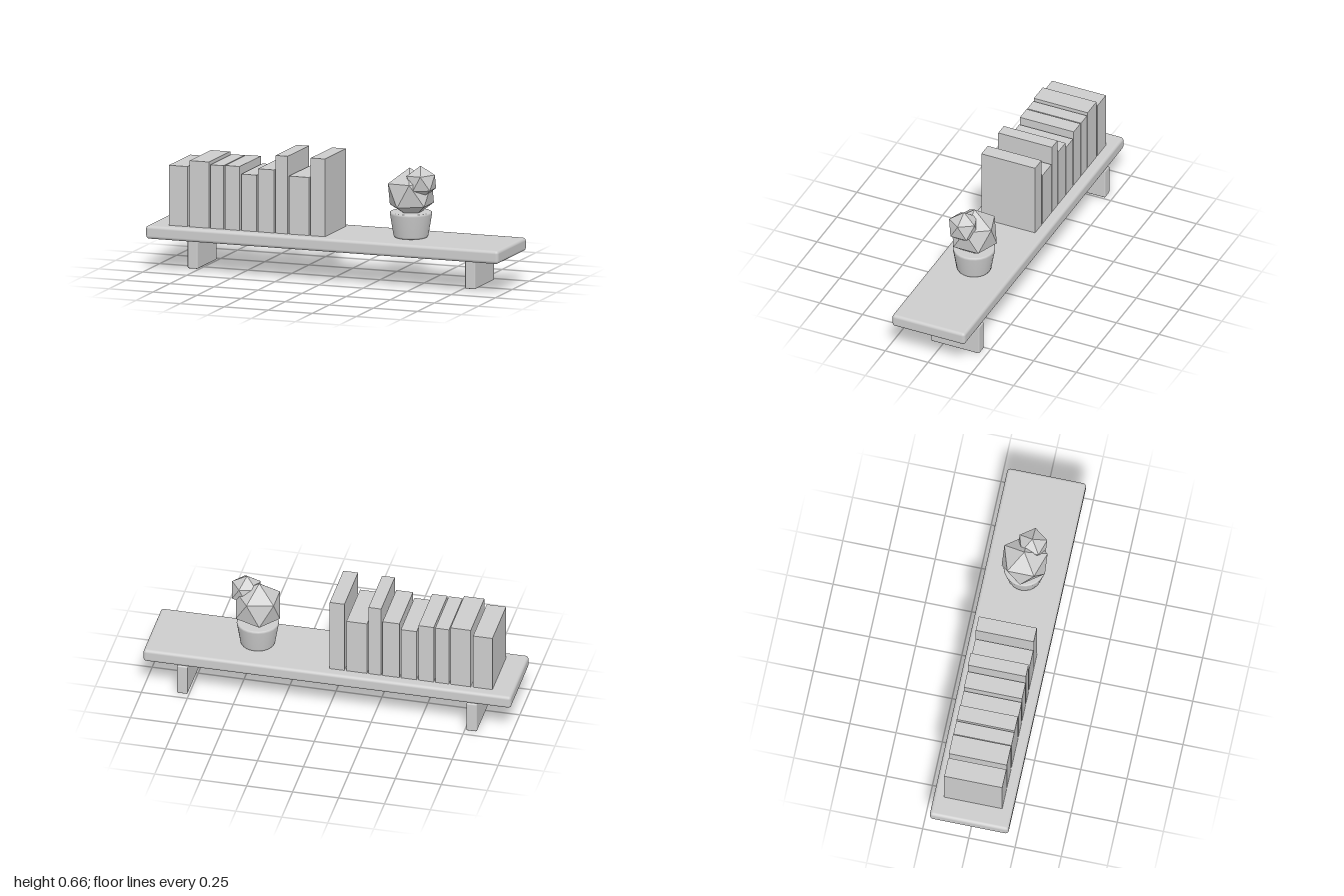
import * as THREE from 'three';
import { RoundedBoxGeometry } from 'three/addons/geometries/RoundedBoxGeometry.js';

export function createModel() {
  const model = new THREE.Group();
  model.name = 'shelfWithBooksAndPlant';
  const grey = new THREE.MeshStandardMaterial({ color: 0xcccccc });
  grey.name = 'grey';

  const add = (name, geometry, x, y, z, parent = model) => {
    const mesh = new THREE.Mesh(geometry, grey);
    mesh.name = name;
    mesh.position.set(x, y, z);
    parent.add(mesh);
    return mesh;
  };

  // Shelf board and its two brackets, flush with the back edge
  const shelfTop = 0.243;
  add('shelfBoard', new RoundedBoxGeometry(2, 0.071, 0.426, 3, 0.017), 0, 0.2075, 0);
  for (const side of [-1, 1]) {
    add(side > 0 ? 'leftBracket' : 'rightBracket',
      new RoundedBoxGeometry(0.058, 0.172, 0.284, 3, 0.007), side * 0.787, 0.086, -0.071);
  }

  // Row of books: [left edge, right edge, top]
  const books = new THREE.Group();
  books.name = 'books';
  model.add(books);
  [
    [-0.888, -0.783, 0.567], [-0.770, -0.660, 0.600], [-0.652, -0.577, 0.586],
    [-0.569, -0.486, 0.588], [-0.476, -0.390, 0.548], [-0.382, -0.291, 0.583],
    [-0.283, -0.214, 0.662], [-0.206, -0.094, 0.556], [-0.083, -0.003, 0.662],
  ].forEach(([x0, x1, top], i) => {
    const height = top - shelfTop;
    add(`book${i + 1}`, new THREE.BoxGeometry(x1 - x0, height, 0.314),
      (x0 + x1) / 2, shelfTop + height / 2, 0, books);
  });

  // Tapered pot with softened rim and foot
  const plant = new THREE.Group();
  plant.name = 'pottedPlant';
  plant.position.set(0.425, shelfTop, 0);
  model.add(plant);
  const profile = [
    [0, 0], [0.08, 0], [0.088, 0.003], [0.093, 0.012], [0.112, 0.125],
    [0.112, 0.132], [0.109, 0.137], [0.104, 0.138], [0, 0.138],
  ].map(([r, y]) => new THREE.Vector2(r, y));
  add('pot', new THREE.LatheGeometry(profile, 24), 0, 0, 0, plant);

  // Faceted foliage, both clumps tilted the same way
  const foliage = (name, radius, x, y, z) => {
    add(name, new THREE.IcosahedronGeometry(radius, 0), x, y, z, plant).rotation.z = -0.5;
  };
  foliage('largeFoliage', 0.1375, 0, 0.237, 0);
  foliage('smallFoliage', 0.088, 0.07, 0.306, 0.028);

  return model;
}
